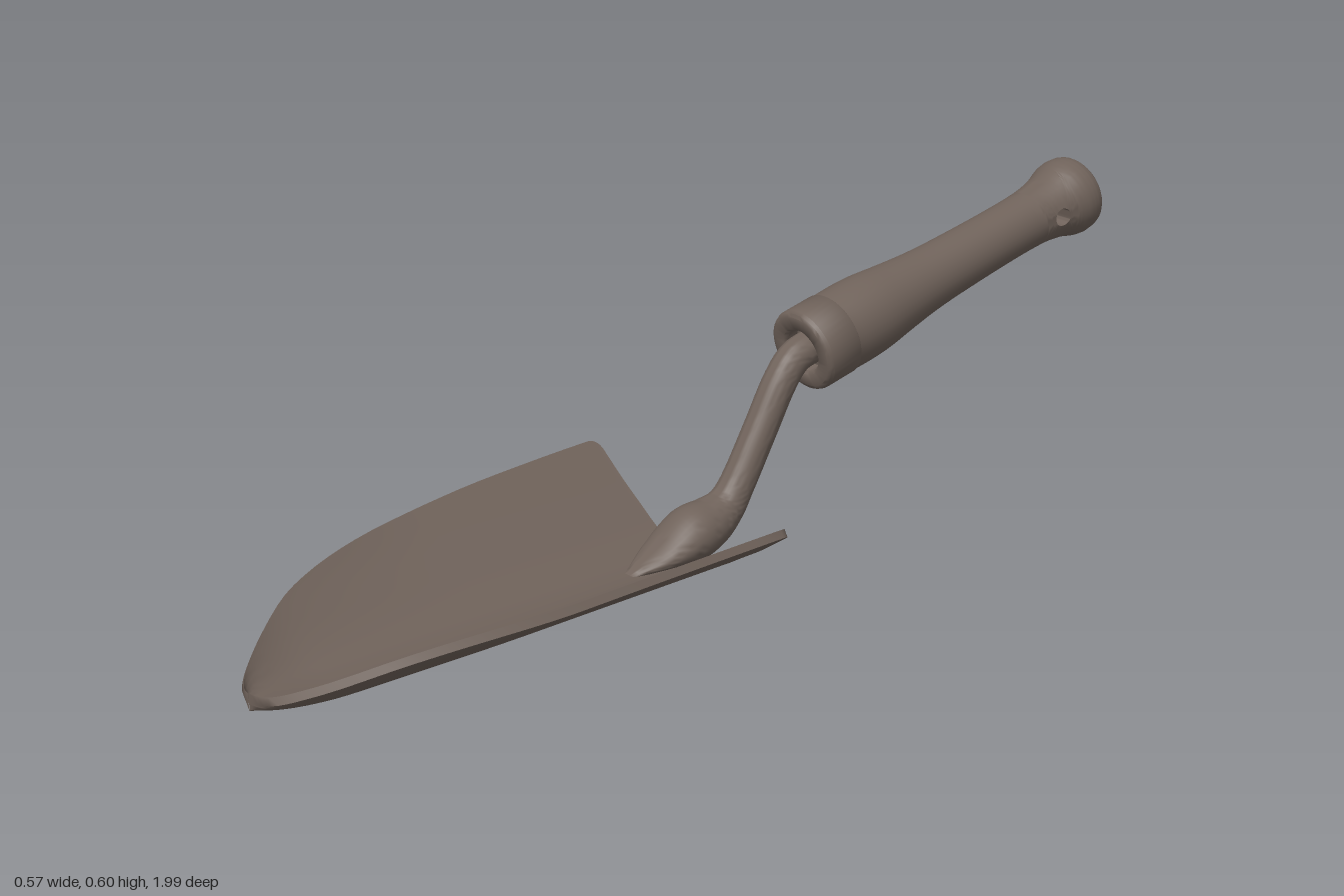
import * as THREE from 'three';
import { toCreasedNormals, mergeGeometries } from 'three/addons/utils/BufferGeometryUtils.js';

// Smooth curve through [x, y] keys, returned as a function of x
function curve(keys) {
  const slope = (i) => {
    const a = keys[Math.max(i - 1, 0)], b = keys[Math.min(i + 1, keys.length - 1)];
    return (b[1] - a[1]) / (b[0] - a[0]);
  };
  return (x) => {
    let i = 0;
    while (i < keys.length - 2 && x > keys[i + 1][0]) i++;
    const [x0, y0] = keys[i], [x1, y1] = keys[i + 1], h = x1 - x0;
    const t = THREE.MathUtils.clamp((x - x0) / h, 0, 1), t2 = t * t, t3 = t2 * t;
    return y0 * (2 * t3 - 3 * t2 + 1) + y1 * (3 * t2 - 2 * t3)
      + h * (slope(i) * (t3 - 2 * t2 + t) + slope(Math.min(i + 1, keys.length - 1)) * (t3 - t2));
  };
}

// Surface from fn(i, j) -> [x, y, z]; it faces along di x dj
function grid(nu, nv, fn) {
  const pos = [], index = [];
  for (let j = 0; j <= nv; j++) for (let i = 0; i <= nu; i++) pos.push(...fn(i, j));
  for (let j = 0; j < nv; j++) for (let i = 0; i < nu; i++) {
    const a = j * (nu + 1) + i, d = a + nu + 1;
    index.push(a, a + 1, d + 1, a, d + 1, d);
  }
  const g = new THREE.BufferGeometry();
  g.setAttribute('position', new THREE.Float32BufferAttribute(pos, 3));
  g.setIndex(index);
  return g;
}

const creased = (parts, angle) => toCreasedNormals(mergeGeometries(parts), angle);

// Dished blade: closed cross-sections from the back edge to the rounded tip
function bladeGeometry() {
  const M = 28;
  const widthOf = curve([[0, 0.001], [0.224, 0.085], [0.316, 0.125], [0.447, 0.185],
    [0.632, 0.245], [0.775, 0.27], [0.894, 0.281], [0.964, 0.285], [1, 0.285]]);
  const dish = curve([[0, 0], [0.05, 0.003], [0.1, 0.026], [0.15, 0.057], [0.2, 0.088],
    [0.25, 0.123], [0.285, 0.148]]);
  const rows = [0.055, 0.0565, 0.06, 0.066, 0.075];
  const p0 = Math.sqrt(1 - 0.075);
  for (let i = 1; i <= 32; i++) rows.push(1 - (p0 * (1 - i / 32)) ** 2);
  const point = (k, z, top) => {
    const u = Math.sin((k / M - 0.5) * Math.PI);
    let w = widthOf(Math.sqrt(Math.max(1 - z, 0)));
    if (z < 0.075) w -= 0.02 * (1 - Math.sqrt(Math.max(0, 1 - ((0.075 - z) / 0.02) ** 2)));
    const x = w * u;
    const lift = 0.02 * THREE.MathUtils.smoothstep(z, 0.5, 0.85) * u * u
      + 0.007 * THREE.MathUtils.smoothstep(z, 0.85, 1);
    const inset = top ? Math.min(0.008, w * 0.2) * u : 0;
    return [x - inset, dish(Math.abs(x)) + lift + (top ? 0.013 : 0), z];
  };
  const shell = grid(2 * M + 2, rows.length - 1, (i, j) => {
    if (i === 2 * M + 2) i = 0;
    return i <= M ? point(i, rows[j], false) : point(2 * M + 1 - i, rows[j], true);
  });
  const backEdge = grid(1, M, (i, j) => point(j, rows[0], i === 1));
  return creased([shell, backEdge], 0.8);
}

// Bent neck that swells into a flattened socket on the blade
function neckGeometry() {
  // z, y, half width, half height
  const stations = [[0.2, 0.011, 0.012, 0.003], [0.125, 0.032, 0.047, 0.025], [0.055, 0.053, 0.058, 0.051],
    [0, 0.068, 0.05, 0.046], [-0.035, 0.088, 0.039, 0.038], [-0.062, 0.122, 0.034, 0.034],
    [-0.118, 0.216, 0.033, 0.033], [-0.172, 0.308, 0.033, 0.033], [-0.205, 0.343, 0.033, 0.033],
    [-0.26, 0.36, 0.033, 0.033]];
  const last = stations.length - 1, steps = last * 6;
  const path = new THREE.CatmullRomCurve3(stations.map(([z, y]) => new THREE.Vector3(0, y, z)));
  const halfW = curve(stations.map((s, i) => [i, s[2]]));
  const halfH = curve(stations.map((s, i) => [i, s[3]]));
  const side = new THREE.Vector3(1, 0, 0);
  return creased([grid(32, steps, (i, j) => {
    const t = j / steps, a = (i % 32) / 32 * Math.PI * 2;
    const c = path.getPoint(t), n = path.getTangent(t).cross(side);
    return c.addScaledVector(side, halfW(t * last) * Math.cos(a))
      .addScaledVector(n, halfH(t * last) * Math.sin(a)).toArray();
  })], 1);
}

// Turned grip along local z, with a hanging hole bored across it
function gripGeometry() {
  const N = 32, holeS = 0.668, half = 0.045, holeR = 0.018;
  const radius = curve([[0.08, 0.08], [0.13, 0.081], [0.18, 0.079], [0.24, 0.072], [0.32, 0.064], [0.4, 0.06],
    [0.55, 0.057], [0.64, 0.059], [0.69, 0.067], [0.72, 0.077], [0.737, 0.08], [0.755, 0.079],
    [0.769, 0.075], [0.778, 0.066]]);
  const at = (a, s, r = radius(s)) => [r * Math.cos(a), r * Math.sin(a), s];
  const turned = (s0, s1, n) => grid(N, n, (i, j) =>
    at((i % N) / N * Math.PI * 2, s0 + (s1 - s0) * j / n));
  const cap = grid(N, 1, (i, j) => at((i % N) / N * Math.PI * 2, 0.778, j ? 0 : radius(0.778)));

  // Counter-clockwise walk around the square patch, in -1..1
  const border = (k) => {
    k %= 48;
    if (k < 16) return [-1 + k / 8, -1];
    if (k < 24) return [1, -1 + (k - 16) / 4];
    if (k < 40) return [1 - (k - 24) / 8, 1];
    return [-1, 1 - (k - 40) / 4];
  };
  const patchPoint = (k, t, turn) => {
    const [bx, by] = border(k), len = Math.hypot(bx, by);
    const a = THREE.MathUtils.lerp(bx / len * holeR / 0.061, bx * Math.PI / 2, t);
    const s = THREE.MathUtils.lerp(by / len * holeR, by * half, t);
    return at(a + turn, holeS + s);
  };
  const sides = [0, Math.PI].map((turn) => grid(8, 48, (i, j) => patchPoint(j, i / 8, turn)));
  const bore = grid(48, 1, (i, j) => {
    const [x, y, z] = patchPoint(i, 0, 0);
    return [j ? -x : x, y, z];
  });
  return creased([turned(0.08, holeS - half, 30), ...sides, turned(holeS + half, 0.778, 12), cap, bore], 0.7);
}

// Ferrule with a recessed mouth around the neck
function collarGeometry() {
  const profile = [[0, 0.03], [0.042, 0.03], [0.042, 0.006], [0.048, 0], [0.072, 0], [0.079, 0.003],
    [0.082, 0.01], [0.082, 0.079], [0.079, 0.082]].map(([r, s]) => new THREE.Vector2(r, s));
  return toCreasedNormals(new THREE.LatheGeometry(profile, 40).rotateX(Math.PI / 2), 0.8);
}

export function createModel() {
  const metal = new THREE.MeshStandardMaterial({ color: 0x6f625a });
  metal.name = 'warm grey brown';
  const model = new THREE.Group();
  model.name = 'trowel';
  const add = (parent, name, geometry) => {
    const mesh = new THREE.Mesh(geometry, metal);
    mesh.name = name;
    parent.add(mesh);
  };

  add(model, 'blade', bladeGeometry());
  add(model, 'neck', neckGeometry());

  // Handle rises toward the back
  const handle = new THREE.Group();
  handle.name = 'handle';
  handle.position.set(0, 0.35, -0.222);
  handle.rotation.x = Math.PI + 0.227;
  add(handle, 'collar', collarGeometry());
  add(handle, 'grip', gripGeometry());
  model.add(handle);
  return model;
}
